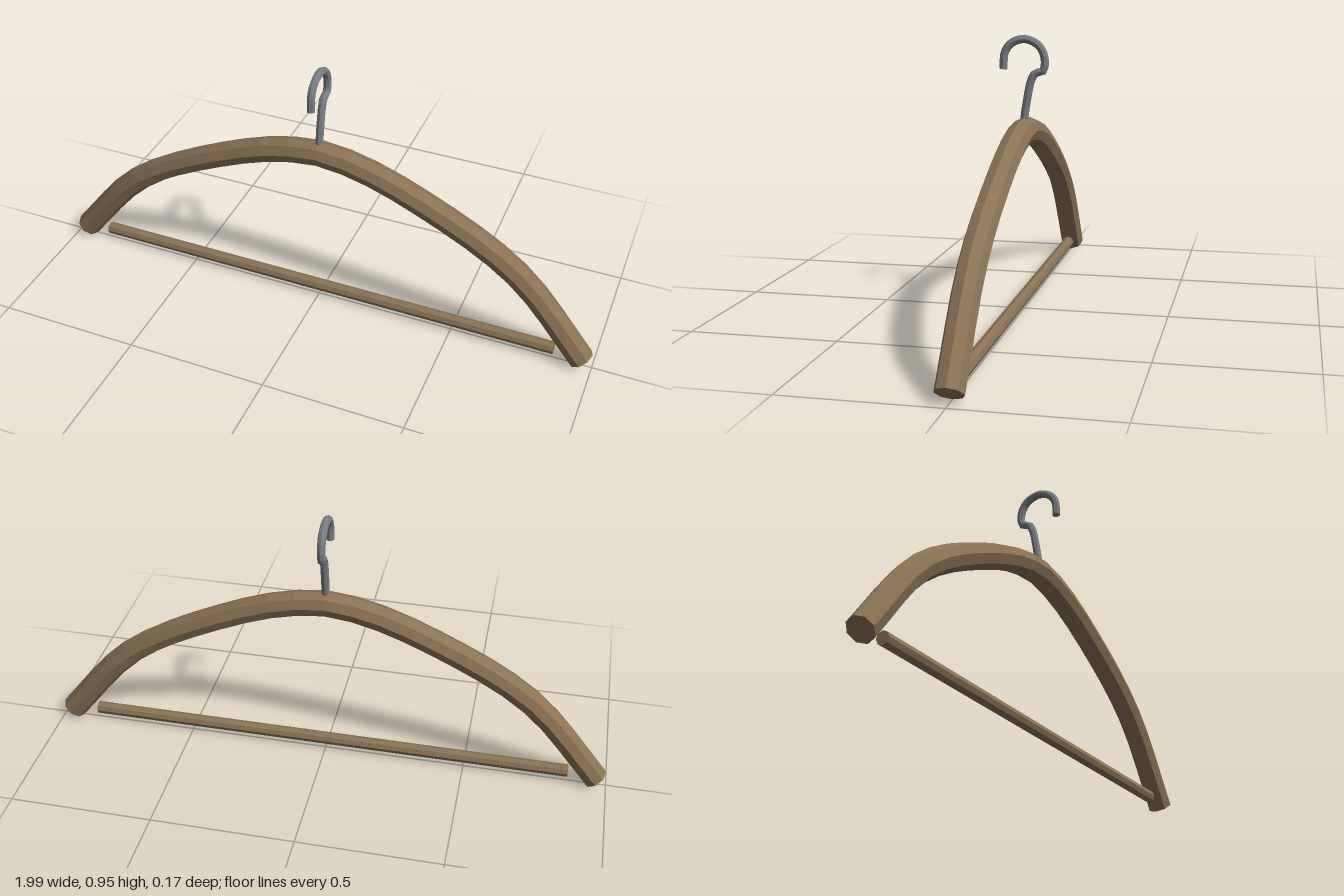
import * as THREE from 'three';
import { mergeGeometries } from 'three/addons/utils/BufferGeometryUtils.js';

const SIDES = 8;

// Flat disc closing one end of a tube, made from its ring of vertices
function endCap(tube, ring, center, flip) {
  const p = tube.attributes.position;
  const start = ring * (SIDES + 1);
  const pts = [];
  for (let i = 0; i < SIDES; i++) {
    const a = new THREE.Vector3().fromBufferAttribute(p, start + i);
    const b = new THREE.Vector3().fromBufferAttribute(p, start + i + 1);
    pts.push(center, ...(flip ? [b, a] : [a, b]));
  }
  const cap = new THREE.BufferGeometry().setFromPoints(pts);
  cap.setAttribute('uv', new THREE.BufferAttribute(new Float32Array(pts.length * 2), 2));
  cap.computeVertexNormals();
  return cap;
}

// Octagonal rod swept along a smooth curve, closed at both ends
function rod(points, segments, radius) {
  const curve = new THREE.CatmullRomCurve3(points);
  const tube = new THREE.TubeGeometry(curve, segments, radius, SIDES, false);
  return mergeGeometries([
    tube.toNonIndexed(),
    endCap(tube, 0, curve.getPoint(0), false),
    endCap(tube, segments, curve.getPoint(1), true),
  ]);
}

export function createModel() {
  const group = new THREE.Group();
  const wood = new THREE.MeshStandardMaterial({ color: 0x8b7355, flatShading: true });
  wood.name = 'wood';
  const metal = new THREE.MeshStandardMaterial({ color: 0x7a7d82, flatShading: true });
  metal.name = 'metal';

  const add = (name, geometry, material) => {
    const mesh = new THREE.Mesh(geometry, material);
    mesh.name = name;
    group.add(mesh);
    return mesh;
  };

  // Curved shoulder arm, one half mirrored across the middle
  const half = [[0.165, 0.6], [0.345, 0.533], [0.615, 0.395], [0.755, 0.285], [0.962, 0.033]];
  const armPoints = [
    ...half.map(([x, y]) => new THREE.Vector3(-x, y, 0)).reverse(),
    new THREE.Vector3(0, 0.627, 0),
    ...half.map(([x, y]) => new THREE.Vector3(x, y, 0)),
  ];
  add('shoulderArm', rod(armPoints, 24, 0.045), wood);

  // Straight trouser bar
  const bar = add('trouserBar', new THREE.CylinderGeometry(0.022, 0.022, 1.73, SIDES), wood);
  bar.rotation.z = Math.PI / 2;
  bar.position.y = 0.047;

  // Wire hook: leaning stem, small kink, then a round bend open to the front
  const hookPoints = [
    [0.004, 0.63], [-0.008, 0.72], [-0.026, 0.803], [-0.04, 0.824], [-0.063, 0.829], [-0.071, 0.85],
    [-0.066, 0.89], [-0.045, 0.92], [0, 0.937], [0.045, 0.922], [0.067, 0.89], [0.071, 0.835],
  ].map(([z, y]) => new THREE.Vector3(0, y, z));
  add('hook', rod(hookPoints, 32, 0.014), metal);

  return group;
}
